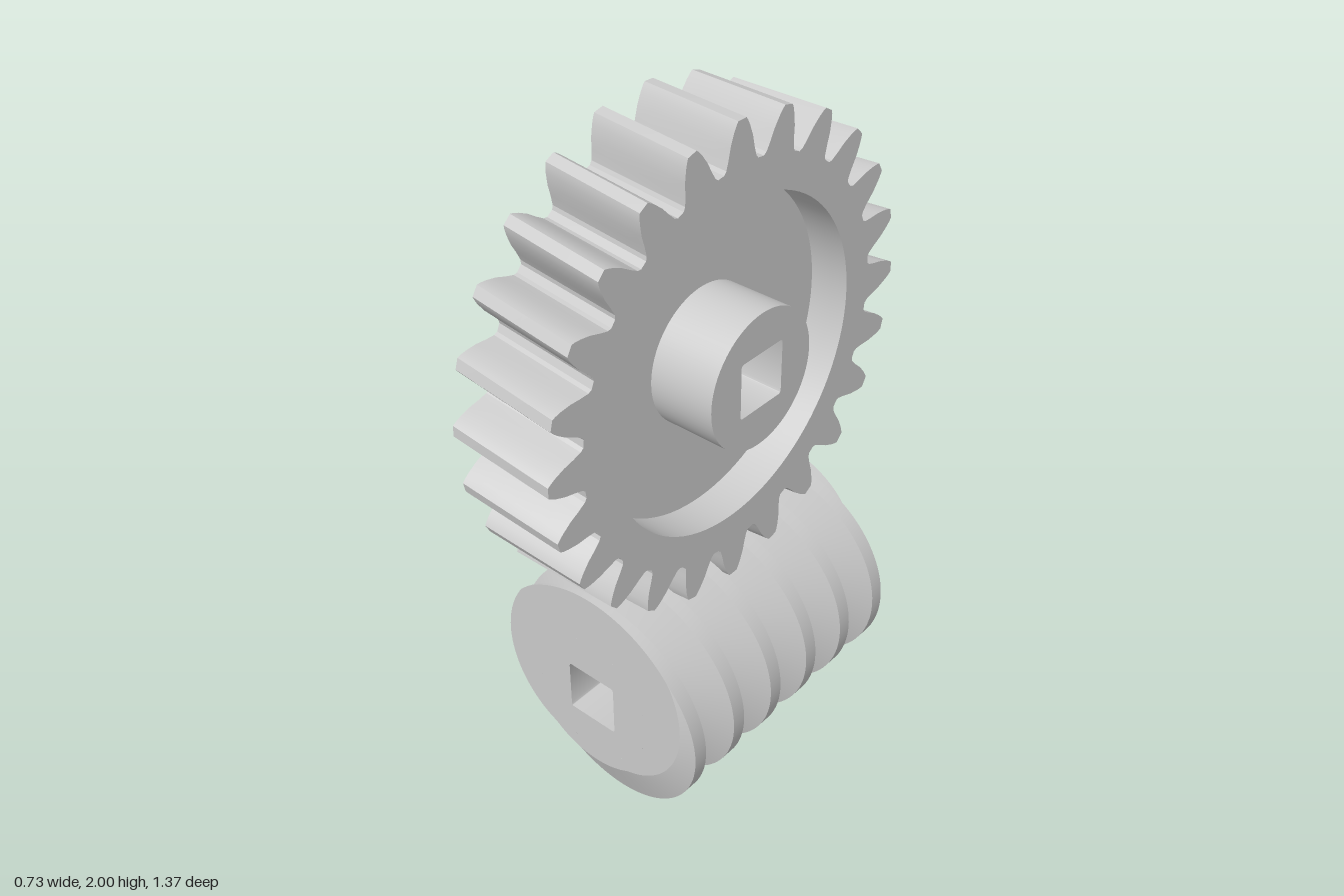
import * as THREE from 'three';
import { toCreasedNormals } from 'three/addons/utils/BufferGeometryUtils.js';

const material = new THREE.MeshStandardMaterial({ color: 0xcccccc });
const TEETH = 24, GEAR_Y = 1.317, GEAR_HALF = 0.157;
const WORM_Y = 0.363, WORM_R = 0.363, WORM_FRONT = 0.422, WORM_BACK = -0.517;

function part(name, geometry, crease = 0.5) {
  const mesh = new THREE.Mesh(toCreasedNormals(geometry, crease), material);
  mesh.name = name;
  return mesh;
}

const circle = (r) => new THREE.Shape().absarc(0, 0, r, 0, Math.PI * 2, false);

// Square shaft hole with slightly rounded corners
function squareHole(h = 0.082, c = 0.01) {
  const p = new THREE.Path();
  p.moveTo(-h + c, -h);
  p.lineTo(h - c, -h).quadraticCurveTo(h, -h, h, -h + c);
  p.lineTo(h, h - c).quadraticCurveTo(h, h, h - c, h);
  p.lineTo(-h + c, h).quadraticCurveTo(-h, h, -h, h - c);
  p.lineTo(-h, -h + c).quadraticCurveTo(-h, -h, -h + c, -h);
  return p;
}

// Extrusion centred on its own z axis
function slab(shape, half, hole, steps = 1) {
  if (hole) shape.holes.push(hole);
  return new THREE.ExtrudeGeometry(shape, { depth: half * 2, steps, bevelEnabled: false, curveSegments: 48 })
    .translate(0, 0, -half);
}

// Outline of all gear teeth, from [radius, half angle] pairs of one tooth
function toothOutline() {
  const flank = [[0.567, 0.112], [0.575, 0.097], [0.60, 0.080], [0.63, 0.065], [0.66, 0.044], [0.675, 0.031], [0.683, 0.022]];
  const points = [];
  for (let i = 0; i < TEETH; i++) {
    const mid = (i / TEETH) * Math.PI * 2;
    const add = (r, a) => points.push(new THREE.Vector2(r * Math.cos(mid + a), r * Math.sin(mid + a)));
    flank.forEach(([r, a]) => add(r, -a));
    [...flank].reverse().forEach(([r, a]) => add(r, a));
  }
  return new THREE.Shape(points);
}

// Helical rim: the teeth turn steadily across the width
function rimGeometry() {
  const geo = slab(toothOutline(), GEAR_HALF, circle(0.47), 6);
  const pos = geo.attributes.position, v = new THREE.Vector3(), axis = new THREE.Vector3(0, 0, 1);
  for (let i = 0; i < pos.count; i++) {
    v.fromBufferAttribute(pos, i);
    v.applyAxisAngle(axis, (v.z - GEAR_HALF) * 0.14);
    pos.setXYZ(i, v.x, v.y, v.z);
  }
  return geo;
}

// Trapezoidal screw thread, cut flat at both ends
function threadGeometry(coreR) {
  const pitch = 0.1635, crest = 0.022, foot = 0.066, depth = 0.12, segments = 128;
  const crestZ = (a) => 0.26 - (pitch * a) / (Math.PI * 2);
  const radius = (z, a) => {
    const d = z - crestZ(a), off = Math.abs(d - Math.round(d / pitch) * pitch);
    return WORM_R - depth * THREE.MathUtils.clamp((off - crest) / (foot - crest), 0, 1);
  };
  const positions = [], index = [];
  let rows = 0;
  for (let i = 0; i <= segments; i++) {
    const a = (i / segments) * Math.PI * 2;
    const column = [[coreR, WORM_FRONT]];
    for (let k = 3; k >= -6; k--) {
      for (const off of [crest, -crest, -foot, foot - pitch]) {
        const z = THREE.MathUtils.clamp(crestZ(a) + k * pitch + off, WORM_BACK, WORM_FRONT);
        column.push([radius(z, a), z]);
      }
    }
    column.push([coreR, WORM_BACK]);
    rows = column.length;
    for (const [r, z] of column) positions.push(r * Math.sin(a), r * Math.cos(a), z);
  }
  for (let i = 0; i < segments; i++) {
    for (let j = 0; j < rows - 1; j++) {
      const p = i * rows + j, q = p + rows;
      index.push(p, q, p + 1, q, q + 1, p + 1);
    }
  }
  const geo = new THREE.BufferGeometry();
  geo.setAttribute('position', new THREE.Float32BufferAttribute(positions, 3));
  geo.setIndex(index);
  return geo;
}

export function createModel() {
  const model = new THREE.Group();
  model.name = 'wormDrive';

  // Gear wheel, built facing +z and turned to face +x
  const gear = new THREE.Group();
  gear.name = 'gearWheel';
  gear.add(
    part('toothedRim', rimGeometry(), 0.4),
    part('web', slab(circle(0.475), 0.04, circle(0.19))),
    part('hub', slab(circle(0.198), 0.236, squareHole()))
  );
  gear.rotation.y = Math.PI / 2;
  gear.position.y = GEAR_Y;

  // Worm screw lying along z
  const worm = new THREE.Group();
  worm.name = 'wormScrew';
  const coreR = 0.2;
  const core = part('wormCore', slab(circle(coreR), (WORM_FRONT - WORM_BACK) / 2, squareHole()));
  core.position.z = (WORM_FRONT + WORM_BACK) / 2;
  worm.add(core, part('wormThread', threadGeometry(coreR), 0.3));
  worm.position.y = WORM_Y;

  model.add(gear, worm);
  return model;
}
